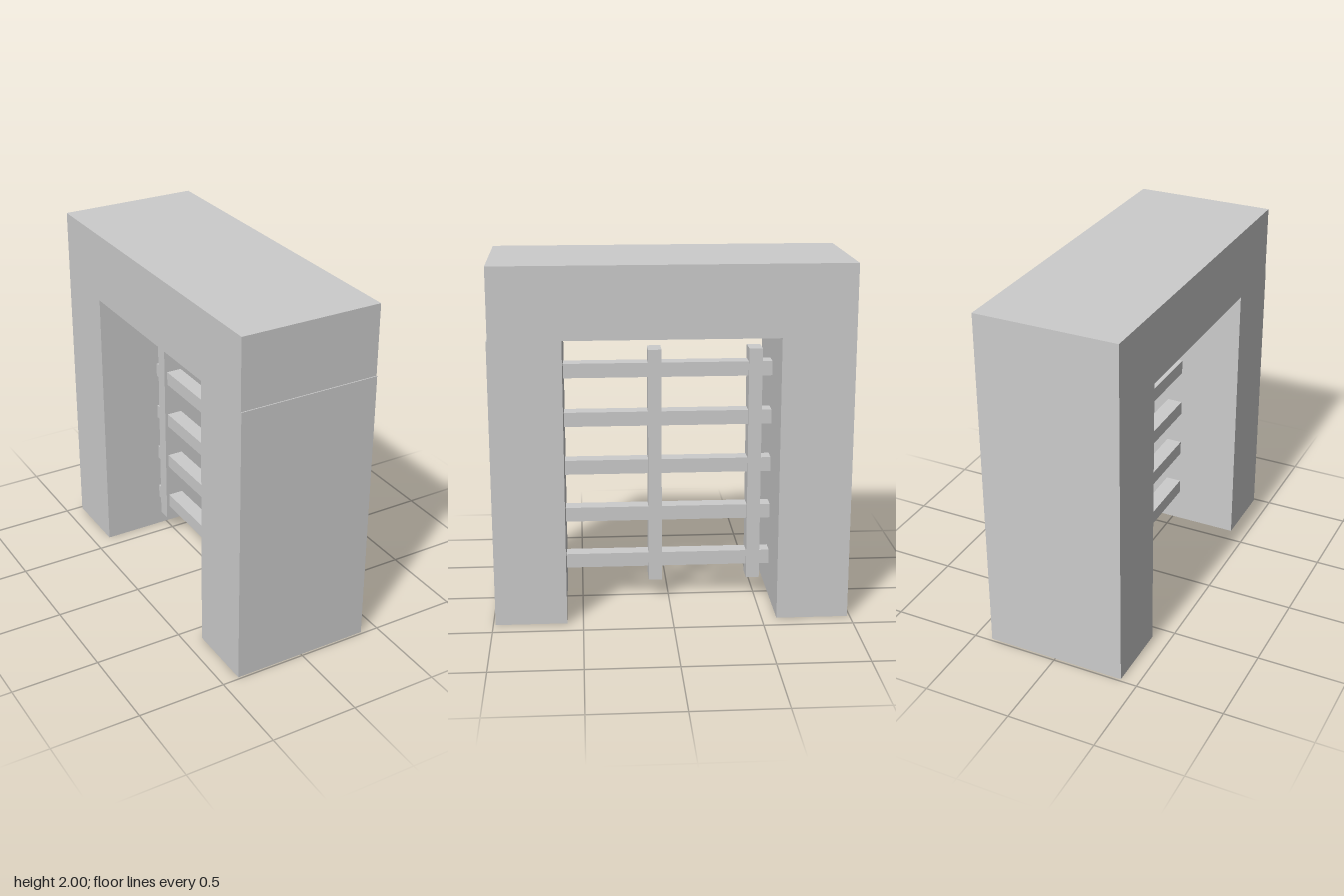
import * as THREE from 'three';

const material = new THREE.MeshStandardMaterial({ color: 0xcccccc, flatShading: true });

// Box given by its width across x and its y and z ranges
function addBox(parent, name, width, [y0, y1], [z0, z1]) {
  const mesh = new THREE.Mesh(new THREE.BoxGeometry(width, y1 - y0, z1 - z0), material);
  mesh.name = name;
  mesh.position.set(0, (y0 + y1) / 2, (z0 + z1) / 2);
  parent.add(mesh);
}

export function createModel() {
  const model = new THREE.Group();
  model.name = 'gateway';

  // Stone frame: the front pillar stands slightly proud of the lintel
  const frame = new THREE.Group();
  frame.name = 'frame';
  addBox(frame, 'frontPillar', 0.8, [0, 1.602], [0.59, 0.987]);
  addBox(frame, 'backPillar', 0.8, [0, 1.602], [-0.985, -0.584]);
  addBox(frame, 'lintel', 0.8, [1.602, 2], [-0.985, 0.981]);

  // Gate: five rails between the pillars, crossed by two uprights
  const gate = new THREE.Group();
  gate.name = 'gate';
  for (let i = 0; i < 5; i++) {
    const y = 0.235 + i * 0.281;
    addBox(gate, 'rail', 0.09, [y - 0.041, y + 0.041], [-0.584, 0.59]);
  }
  for (const z of [0.079, -0.488]) {
    addBox(gate, 'upright', 0.125, [0.114, 1.477], [z - 0.038, z + 0.038]);
  }

  model.add(frame, gate);
  return model;
}
